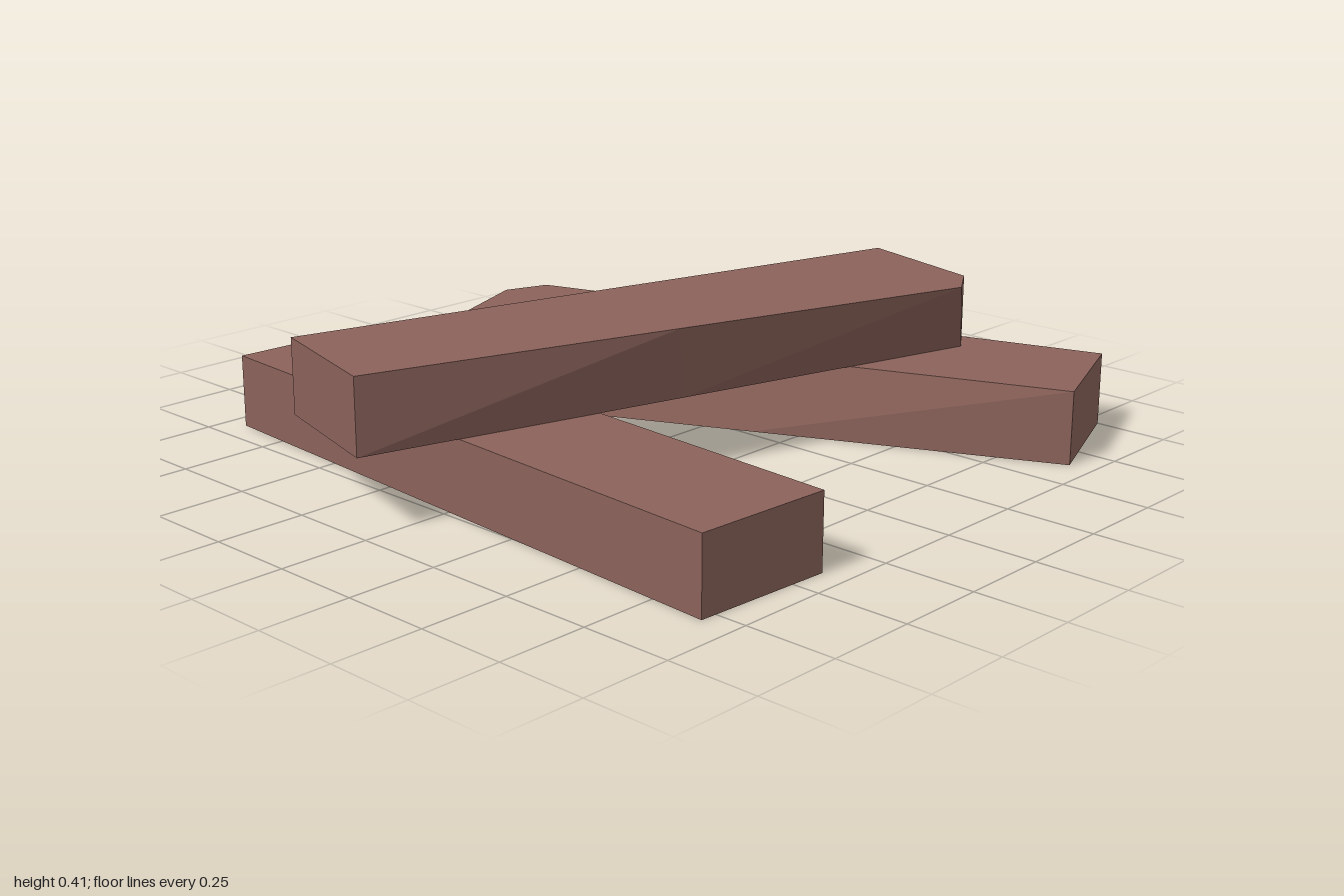
import * as THREE from 'three';

const H = 0.205; // thickness of one plank

// Solid between a bottom and a top outline ([x, z] corners, anticlockwise from above)
function plank(name, y, top, bottom, material) {
  const pos = [];
  const t = top.map(([x, z]) => new THREE.Vector3(x, y + H, z));
  const b = bottom.map(([x, z]) => new THREE.Vector3(x, y, z));
  const tri = (...corners) => {
    if (new THREE.Triangle(...corners).getArea() < 1e-6) return;
    corners.forEach((c) => pos.push(c.x, c.y, c.z));
  };
  const n = t.length;
  for (let i = 0; i < n; i++) {
    const j = (i + 1) % n;
    tri(b[i], b[j], t[j]);
    tri(b[i], t[j], t[i]);
    if (i > 0 && j > 0) {
      tri(t[0], t[i], t[j]);
      tri(b[0], b[j], b[i]);
    }
  }
  const geometry = new THREE.BufferGeometry();
  geometry.setAttribute('position', new THREE.Float32BufferAttribute(pos, 3));
  geometry.computeVertexNormals();
  const mesh = new THREE.Mesh(geometry, material);
  mesh.name = name;
  return mesh;
}

export function createModel() {
  const group = new THREE.Group();
  group.name = 'plankPile';
  const wood = new THREE.MeshStandardMaterial({ color: 0x8a625a });
  wood.name = 'brown wood';

  // Plain plank lying across the front
  const front = [[-0.91, 0.28], [-0.935, 0.67], [0.91, 0.795], [0.93, 0.4]];
  group.add(plank('frontPlank', 0, front, front, wood));

  // Slanted plank at the back, with a chipped end and a leaning front side
  group.add(plank('backPlank', 0,
    [[0.79, -1], [-0.89, -0.46], [-0.935, -0.33], [-0.79, 0.04], [0.07, -0.3], [0.93, -0.64]],
    [[0.79, -1], [-0.935, -0.33], [-0.935, -0.33], [-0.67, 0.1], [0.13, -0.27], [0.93, -0.64]],
    wood));

  // Plank resting on the other two, with a flared, chipped back corner
  group.add(plank('topPlank', H,
    [[0.08, -0.89], [-0.4, 0.895], [-0.02, 1], [0.255, 0.16], [0.53, -0.68], [0.46, -0.79]],
    [[0.08, -0.89], [-0.4, 0.895], [-0.02, 1], [0.22, 0.105], [0.46, -0.79], [0.46, -0.79]],
    wood));

  return group;
}
